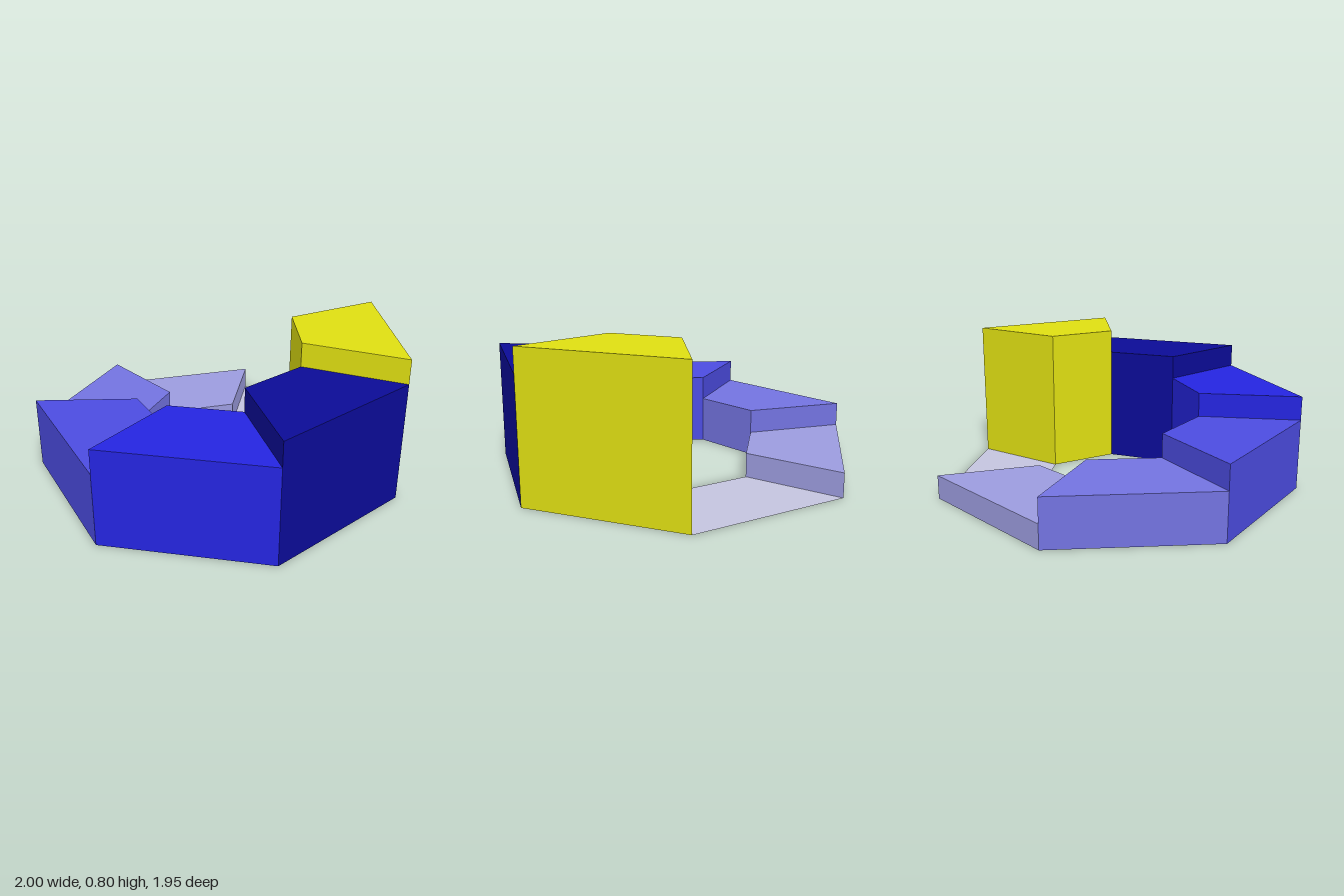
import * as THREE from 'three';

const SIDES = 7;
const OUTER = 1 / Math.cos(Math.PI / 14);
const INNER = OUTER * 0.45;
const CENTRE_Z = (OUTER - OUTER * Math.cos(Math.PI / SIDES)) / 2;
const STEP = 0.8 / 6;

// Corner of the ring at angle a (0 = front), radius r, height y
const corner = (a, r, y) => [r * Math.sin(a), y, CENTRE_Z + r * Math.cos(a)];

// Flat-shaded geometry from four-cornered faces, counter-clockwise from outside
function quads(faces) {
  const points = faces.flatMap(([a, b, c, d]) => [a, b, c, a, c, d]).flat();
  const geometry = new THREE.BufferGeometry();
  geometry.setAttribute('position', new THREE.Float32BufferAttribute(points, 3));
  geometry.computeVertexNormals();
  return geometry;
}

// Open-bottomed wedge of the ring; startBase and endBase are where its
// two radial walls begin (null leaves the wall to its neighbour)
function wedge(index, height, startBase, endBase) {
  const a = Math.PI / SIDES * (1 - 2 * index);
  const b = a - 2 * Math.PI / SIDES;
  const oA = y => corner(a, OUTER, y), oB = y => corner(b, OUTER, y);
  const iA = y => corner(a, INNER, y), iB = y => corner(b, INNER, y);
  const h = height;
  const faces = [[oB(h), oA(h), iA(h), iB(h)]];
  if (h > 0) {
    faces.push([oB(0), oA(0), oA(h), oB(h)], [iA(0), iB(0), iB(h), iA(h)]);
    if (startBase !== null) faces.push([oA(startBase), iA(startBase), iA(h), oA(h)]);
    if (endBase !== null) faces.push([iB(endBase), oB(endBase), oB(h), iB(h)]);
  }
  return quads(faces);
}

export function createModel() {
  const group = new THREE.Group();
  group.name = 'steppedRing';

  // Name, material name, colour, height in steps, radial wall bases
  const steps = [
    ['frontStep', 'navy', 0x0b0b96, 5, 0, 0],
    ['frontRightStep', 'blue', 0x2525e0, 4, null, 0],
    ['rightStep', 'mediumBlue', 0x4c4ce0, 3, null, 0],
    ['backRightStep', 'periwinkle', 0x7373e0, 2, null, 0],
    ['backLeftStep', 'lavender', 0x9c9cde, 1, null, 0],
    ['leftFloor', 'paleGrey', 0xc4c4de, 0, null, null],
    ['frontLeftStep', 'yellow', 0xdede12, 6, 0, 5 * STEP],
  ];
  steps.forEach(([name, colourName, color, level, startBase, endBase], i) => {
    const material = new THREE.MeshStandardMaterial({ color, side: THREE.DoubleSide });
    material.name = colourName;
    const mesh = new THREE.Mesh(wedge(i, level * STEP, startBase, endBase), material);
    mesh.name = name;
    group.add(mesh);
  });
  return group;
}
